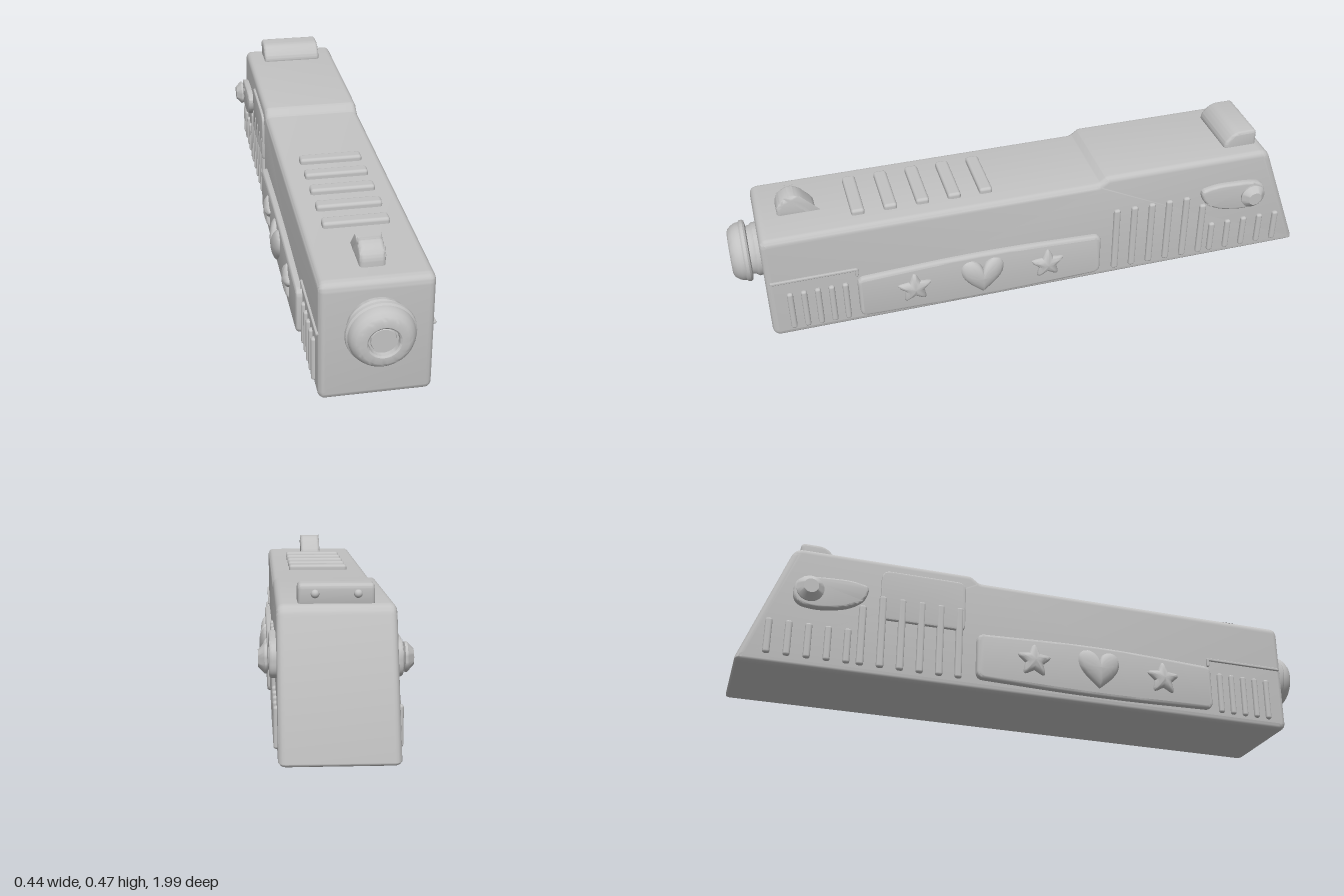
import * as THREE from 'three';
import { toCreasedNormals } from 'three/addons/utils/BufferGeometryUtils.js';
import { RoundedBoxGeometry } from 'three/addons/geometries/RoundedBoxGeometry.js';

const grey = new THREE.MeshStandardMaterial({ color: 0xc2c2c2 });
grey.name = 'light grey';
const W = 0.168; // half width of the body

// Closed outline of [z, y, cornerRadius] points, drawn with x = -z
function outline(pts) {
  const p = pts.map(([z, y, r = 0]) => ({ v: new THREE.Vector2(-z, y), r }));
  const s = new THREE.Shape();
  p.forEach(({ v, r }, i) => {
    const before = p[(i + p.length - 1) % p.length].v, after = p[(i + 1) % p.length].v;
    const a = before.clone().sub(v).setLength(r).add(v);
    const b = after.clone().sub(v).setLength(r).add(v);
    if (i === 0) s.moveTo(a.x, a.y); else s.lineTo(a.x, a.y);
    if (r > 0) s.quadraticCurveTo(v.x, v.y, b.x, b.y);
  });
  s.closePath();
  return s;
}

// Side profile given thickness along x, centred on x = 0, with soft edges
function slab(shape, width, bevel, segments = 3) {
  const g = new THREE.ExtrudeGeometry(shape, {
    depth: width - 2 * bevel, bevelThickness: bevel, bevelSize: bevel,
    bevelOffset: -bevel, bevelSegments: segments, curveSegments: 8,
  });
  g.translate(0, 0, bevel - width / 2).rotateY(Math.PI / 2);
  return toCreasedNormals(g, 0.6);
}

// Cushion shape: an outline shrinking to its centre on both faces
function puff(points, z, y, h) {
  const pos = [], idx = [], n = points.length, rings = 10;
  for (let i = 0; i <= rings; i++) {
    const t = (i / rings - 0.5) * Math.PI;
    const s = Math.max(0.001, Math.cos(t));
    for (const p of points) pos.push(p.x * s, p.y * s, h * Math.sin(t));
  }
  for (let i = 0; i < rings; i++) for (let j = 0; j < n; j++) {
    const a = i * n + j, b = i * n + (j + 1) % n;
    idx.push(a, b, b + n, a, b + n, a + n);
  }
  const g = new THREE.BufferGeometry();
  g.setAttribute('position', new THREE.Float32BufferAttribute(pos, 3));
  g.setIndex(idx);
  g.rotateY(Math.PI / 2).translate(0, y, z);
  return toCreasedNormals(g, 0.6);
}

function starPoints(R, r) {
  const s = new THREE.Shape(), at = (k, q) => {
    const a = Math.PI / 2 + k * Math.PI / 5;
    return [Math.cos(a) * q, Math.sin(a) * q];
  };
  // rounded tips
  for (let k = 0; k < 10; k += 2) {
    const a = at(k - 0.25, R * 0.87), b = at(k + 0.25, R * 0.87);
    if (k === 0) s.moveTo(...a); else s.lineTo(...a);
    s.quadraticCurveTo(...at(k, R * 1.1), ...b);
    s.lineTo(...at(k + 1, r));
  }
  s.closePath();
  return s.getPoints(4).slice(0, -1);
}

function heartPoints() {
  const s = new THREE.Shape();
  s.moveTo(0, -0.07);
  s.bezierCurveTo(0.035, -0.04, 0.075, -0.01, 0.075, 0.03);
  s.bezierCurveTo(0.075, 0.08, 0.015, 0.08, 0, 0.035);
  s.bezierCurveTo(-0.015, 0.08, -0.075, 0.08, -0.075, 0.03);
  s.bezierCurveTo(-0.075, -0.01, -0.035, -0.04, 0, -0.07);
  return s.getPoints(10).slice(0, -1);
}

export function createModel() {
  const model = new THREE.Group();
  const add = (name, geometry, x = 0, y = 0, z = 0) => {
    const m = new THREE.Mesh(geometry, grey);
    m.name = name;
    m.position.set(x, y, z);
    model.add(m);
    return m;
  };
  const both = (name, geometry, x, y = 0, z = 0) => {
    add(name + 'Left', geometry, x, y, z);
    add(name + 'Right', geometry, -x, y, z);
  };

  // Main body with raised, slanted rear
  add('body', slab(outline([
    [0.905, 0, 0.03], [0.905, 0.395, 0.03], [-0.225, 0.395, 0.01],
    [-0.255, 0.418, 0.01], [-0.845, 0.418, 0.03], [-1, 0, 0.02],
  ]), 2 * W, 0.02, 4));

  // Side panels with puffed ornaments
  both('sidePanel', slab(outline([
    [0.612, 0.035, 0.025], [0.612, 0.193, 0.025], [0.19, 0.211, 0.2],
    [-0.235, 0.193, 0.025], [-0.235, 0.035, 0.025], [0.19, 0.024, 0.2],
  ]), 0.05, 0.01), 0.163);
  const star = starPoints(0.062, 0.034);
  both('frontStar', puff(star, 0.425, 0.12, 0.021), 0.185);
  both('rearStar', puff(star, -0.04, 0.12, 0.021), 0.185);
  both('heart', puff(heartPoints(), 0.19, 0.12, 0.027), 0.185);

  // Vertical grip ribs
  const rib = (z, y0, y1, width) => both('gripRib',
    new RoundedBoxGeometry(0.03, y1 - y0, width, 2, 0.008), 0.164, (y0 + y1) / 2, z);
  for (let i = 0; i < 5; i++) rib(0.834 - i * 0.0455, 0.03, 0.178, 0.02);
  for (let i = 0; i < 6; i++) rib(-0.294 - i * 0.0642, 0.03, i < 5 ? 0.283 : 0.24, 0.024);
  for (let i = 0; i < 5; i++) rib(-0.658 - i * 0.0618, 0.03, 0.15, 0.022);

  // Thin trim line near the front, turning down at its rear end
  both('trimLine', new RoundedBoxGeometry(0.014, 0.01, 0.285, 1, 0.003), W, 0.227, 0.75);
  both('trimEnd', new RoundedBoxGeometry(0.014, 0.03, 0.01, 1, 0.003), W, 0.215, 0.61);

  // Flat cover on the right side only
  add('sideCover', slab(outline([
    [-0.275, 0.2, 0.02], [-0.275, 0.378, 0.03], [-0.56, 0.378, 0.03], [-0.56, 0.2, 0.02],
  ]), 0.02, 0.004), -0.166);

  // Levers with round knobs
  both('lever', slab(outline([
    [-0.6, 0.305, 0.015], [-0.66, 0.318, 0.03], [-0.775, 0.313, 0.03],
    [-0.84, 0.3, 0.04], [-0.84, 0.21, 0.04], [-0.76, 0.2, 0.03],
    [-0.66, 0.218, 0.04], [-0.605, 0.26, 0.03],
  ]), 0.04, 0.008), W);
  const knob = toCreasedNormals(new THREE.LatheGeometry([
    [0.03, 0], [0.03, 0.012], [0.043, 0.016], [0.044, 0.023], [0.026, 0.04], [0.024, 0.042], [0, 0.042],
  ].map(p => new THREE.Vector2(...p)), 32), 0.6);
  for (const s of [1, -1]) {
    add(s > 0 ? 'knobLeft' : 'knobRight', knob, s * 0.177, 0.26, -0.79).rotation.z = -s * Math.PI / 2;
  }

  // Muzzle: neck, flared lip, domed face and recessed centre
  const muzzle = toCreasedNormals(new THREE.LatheGeometry([
    [0.088, -0.01], [0.09, 0.012], [0.083, 0.02], [0.08, 0.032], [0.098, 0.035],
    [0.103, 0.041], [0.102, 0.05], [0.097, 0.055], [0.096, 0.066], [0.09, 0.078],
    [0.08, 0.09], [0.07, 0.095], [0.05, 0.095], [0.045, 0.091], [0.043, 0.078],
    [0.038, 0.078], [0.036, 0.083], [0, 0.083],
  ].map(p => new THREE.Vector2(...p)), 48), 0.6);
  add('muzzle', muzzle, 0, 0.252, 0.905).rotation.x = Math.PI / 2;

  // Raised bars across the top
  for (let i = 0; i < 5; i++) {
    add('topBar', new RoundedBoxGeometry(0.206, 0.035, 0.044, 3, 0.01), 0, 0.396, 0.578 - i * 0.107);
  }

  // Front and rear sights
  add('frontSight', slab(outline([
    [0.832, 0.385], [0.832, 0.425, 0.02], [0.8, 0.46, 0.03], [0.76, 0.46, 0.03], [0.705, 0.4, 0.02], [0.705, 0.385],
  ]), 0.077, 0.012));
  add('rearSight', slab(outline([
    [-0.705, 0.412, 0.005], [-0.705, 0.435, 0.015], [-0.74, 0.473, 0.025],
    [-0.822, 0.473, 0.015], [-0.822, 0.412, 0.005],
  ]), 0.215, 0.01));
  both('sightDot', new THREE.SphereGeometry(0.012, 16, 12), 0.06, 0.445, -0.823);

  return model;
}
